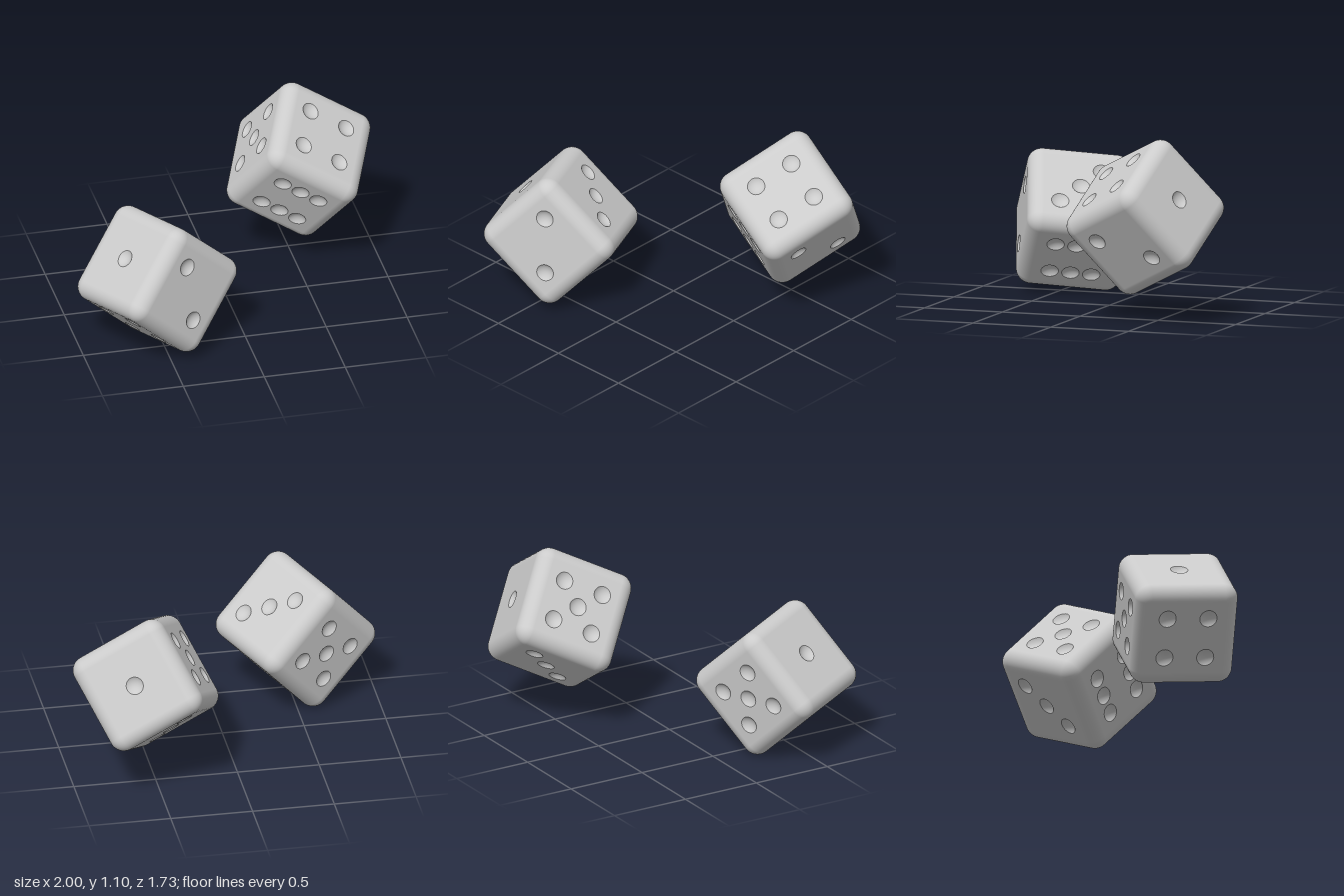
import * as THREE from 'three';
import { mergeGeometries } from 'three/addons/utils/BufferGeometryUtils.js';

const HALF = 0.315;          // half the edge of a die
const R = 0.088;             // edge rounding
const C = HALF - R;          // half the flat part of a face
const STEP = 0.126;          // pip spacing
const PIP = 0.053;           // pip radius
const DEPTH = 0.022;         // pip depth

const X = new THREE.Vector3(1, 0, 0);
const Y = new THREE.Vector3(0, 1, 0);
const Z = new THREE.Vector3(0, 0, 1);
const neg = (v) => v.clone().negate();
const corners = [[1, 1], [1, -1], [-1, 1], [-1, -1]];

// Each face: its u and v directions, outward normal and pip places
const FACES = [
  { u: Y, v: Z, n: X, pips: [[0, 0]] },
  { u: Z, v: X, n: Y, pips: [[1, 1], [-1, -1]] },
  { u: X, v: Y, n: Z, pips: [[1, -1], [0, 0], [-1, 1]] },
  { u: Y, v: X, n: neg(Z), pips: corners },
  { u: X, v: Z, n: neg(Y), pips: [...corners, [0, 0]] },
  { u: Z, v: Y, n: neg(X), pips: [...corners, [1, 0], [-1, 0]] },
];

// Flat square with a round hole for each pip
function faceGeometry(pips) {
  const shape = new THREE.Shape();
  shape.moveTo(-C, -C).lineTo(C, -C).lineTo(C, C).lineTo(-C, C).closePath();
  for (const [a, b] of pips) {
    shape.holes.push(new THREE.Path().absarc(a * STEP, b * STEP, PIP, 0, Math.PI * 2, true));
  }
  return new THREE.ShapeGeometry(shape, 16).translate(0, 0, HALF);
}

// Shallow spherical bowl, opening towards +z
function pipGeometry(a, b) {
  const sphere = (PIP * PIP + DEPTH * DEPTH) / (2 * DEPTH);
  const reach = Math.asin(PIP / sphere);
  const points = [];
  for (let i = 8; i >= 0; i--) {
    const t = (reach * i) / 8;
    points.push(new THREE.Vector2(sphere * Math.sin(t), sphere - DEPTH - sphere * Math.cos(t)));
  }
  return new THREE.LatheGeometry(points, 32).rotateX(Math.PI / 2)
    .translate(a * STEP, b * STEP, HALF);
}

// Twelve quarter-round edges and eight rounded corners
function roundingGeometries() {
  const parts = [];
  for (let k = 0; k < 4; k++) {
    const turn = (k * Math.PI) / 2;
    const edge = () => new THREE.CylinderGeometry(R, R, 2 * C, 10, 1, true, 0, Math.PI / 2)
      .translate(C, 0, C).rotateY(turn);
    parts.push(edge(), edge().rotateX(Math.PI / 2), edge().rotateZ(Math.PI / 2));
    const corner = () => new THREE.SphereGeometry(R, 10, 10, 0, Math.PI / 2, 0, Math.PI / 2)
      .translate(-C, C, C).rotateY(turn);
    parts.push(corner(), corner().rotateX(Math.PI));
  }
  return parts;
}

export function createModel() {
  const model = new THREE.Group();
  model.name = 'pairOfDice';
  const material = new THREE.MeshStandardMaterial({ color: 0xcccccc });

  const body = roundingGeometries();
  const bowls = [];
  for (const { u, v, n, pips } of FACES) {
    const place = new THREE.Matrix4().makeBasis(u, v, n);
    body.push(faceGeometry(pips).applyMatrix4(place));
    for (const [a, b] of pips) bowls.push(pipGeometry(a, b).applyMatrix4(place));
  }
  const bodyGeometry = mergeGeometries(body);
  const pipsGeometry = mergeGeometries(bowls);

  // A die is placed by its centre and the directions of its one and two faces
  function addDie(name, centre, one, two) {
    const x = new THREE.Vector3(...one).normalize();
    const z = x.clone().cross(new THREE.Vector3(...two)).normalize();
    const y = z.clone().cross(x);
    const die = new THREE.Group();
    die.name = name;
    die.quaternion.setFromRotationMatrix(new THREE.Matrix4().makeBasis(x, y, z));
    die.position.set(...centre);
    const bodyMesh = new THREE.Mesh(bodyGeometry, material);
    bodyMesh.name = 'dieBody';
    const pipMesh = new THREE.Mesh(pipsGeometry, material);
    pipMesh.name = 'pips';
    die.add(bodyMesh, pipMesh);
    model.add(die);
  }
  addDie('frontDie', [-0.527, 0.43, 0.43], [-0.691, 0.675, 0.257], [0.45, 0.095, 0.888]);
  addDie('backDie', [0.55, 0.63, -0.438], [0.363, 0.42, -0.831], [0.843, -0.525, 0.111]);
  return model;
}
